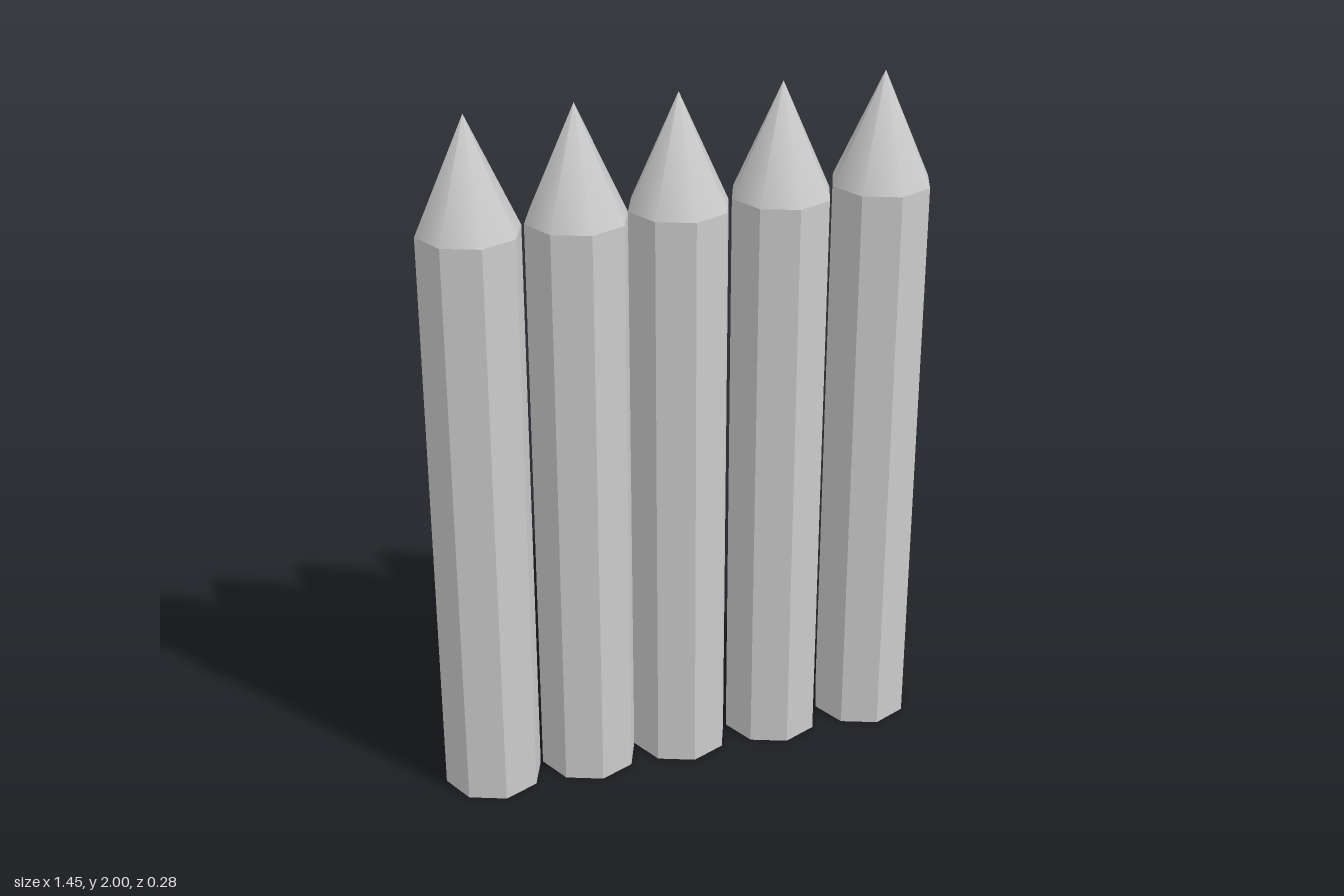
import * as THREE from 'three';

const RADIUS = 0.142;
const SHOULDER = 1.687; // height where the point begins
const HEIGHT = 2;
const SIDES = 8;

export function createModel() {
  const model = new THREE.Group();
  model.name = 'palisade';
  const flat = new THREE.MeshStandardMaterial({ color: 0xcccccc, flatShading: true });
  const smooth = new THREE.MeshStandardMaterial({ color: 0xcccccc });

  // Octagonal post, corners on the axes
  const postGeometry = new THREE.CylinderGeometry(RADIUS, RADIUS, SHOULDER, SIDES);
  postGeometry.translate(0, SHOULDER / 2, 0);

  // Smooth-shaded sharpened tip, open where it meets the post
  const tipHeight = HEIGHT - SHOULDER;
  const tipGeometry = new THREE.ConeGeometry(RADIUS, tipHeight, SIDES, 1, true);
  tipGeometry.translate(0, SHOULDER + tipHeight / 2, 0);

  // Row of slightly unevenly spaced stakes
  [-0.582, -0.291, -0.007, 0.286, 0.581].forEach((x, i) => {
    const stake = new THREE.Group();
    stake.name = `stake${i + 1}`;
    const post = new THREE.Mesh(postGeometry, flat);
    post.name = 'post';
    const tip = new THREE.Mesh(tipGeometry, smooth);
    tip.name = 'tip';
    stake.add(post, tip);
    stake.position.x = x;
    model.add(stake);
  });

  return model;
}
